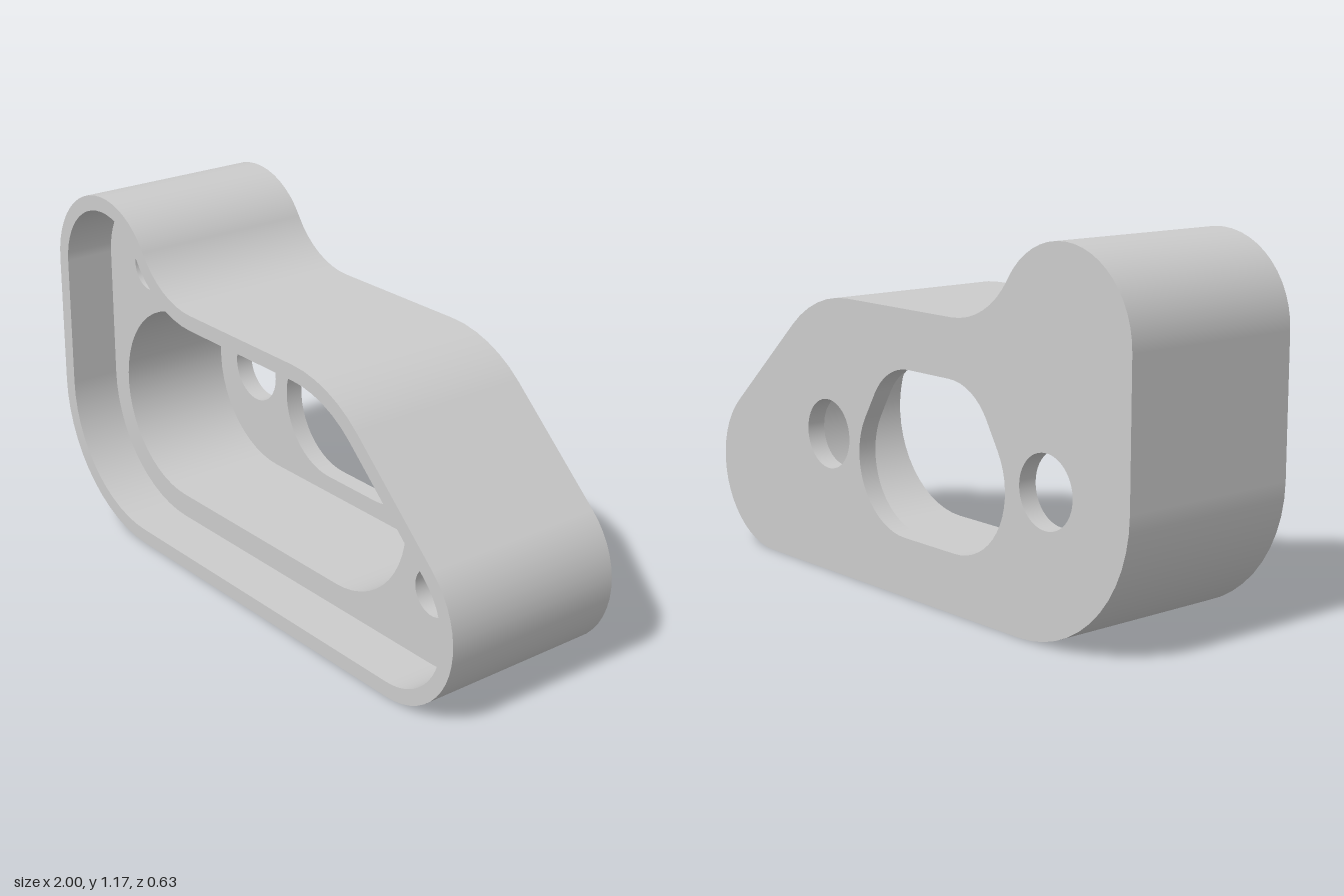
import * as THREE from 'three';

// Levels along z, from back to front
const BACK = -0.313, FLOOR = -0.25, HOLE_END = -0.15, SHELF = 0.143, FRONT = 0.313;

// Each loop is a counter-clockwise belt round circles [x, y, radius];
// a negative radius makes a concave fillet.
const BODY = [
  [-0.545, 0.455, 0.455],
  [0.72, 0.28, 0.28],
  [0.275, 0.455, 0.45],
  [-0.241, 1.205, -0.3],
  [-0.725, 0.895, 0.275],
];
const POCKET = [[-0.545, 0.455, 0.325], [0.275, 0.455, 0.325]];
const SLOT = [[-0.255, 0.42, 0.23], [-0.01, 0.42, 0.23], [-0.035, 0.52, 0.2], [-0.23, 0.52, 0.2]];
const BOLT_HOLES = [[[-0.66, 0.455, 0.113]], [[0.385, 0.455, 0.113]]];
const SCREW_HOLES = [[[-0.725, 0.895, 0.075]], [[0.72, 0.285, 0.075]]];

// Points with outward normals along a belt, moved inward by inset
function belt(circles, inset = 0) {
  const n = circles.length;
  const tangent = (a, b) => {
    const dx = b[0] - a[0], dy = b[1] - a[1];
    const c = THREE.MathUtils.clamp((a[2] - b[2]) / Math.hypot(dx, dy), -1, 1);
    return Math.atan2(dy, dx) - Math.acos(c);
  };
  const points = [];
  circles.forEach((c, i) => {
    let start = 0, sweep = Math.PI * 2;
    if (n > 1) {
      start = tangent(circles[(i + n - 1) % n], c);
      sweep = THREE.MathUtils.euclideanModulo(tangent(c, circles[(i + 1) % n]) - start, Math.PI * 2);
      if (c[2] < 0) sweep -= Math.PI * 2;
    }
    const steps = Math.max(2, Math.ceil(Math.abs(sweep) / 0.13));
    const last = n > 1 ? steps : steps - 1;
    for (let k = 0; k <= last; k++) {
      const a = start + (sweep * k) / steps, nx = Math.cos(a), ny = Math.sin(a);
      const r = c[2] - inset;
      points.push({ x: c[0] + r * nx, y: c[1] + r * ny, nx, ny });
    }
  });
  return points;
}

// Smooth wall along a loop; side 1 faces outward, -1 faces inward
function wall(loop, z0, z1, side) {
  const pos = [], nor = [], index = [], n = loop.length;
  loop.forEach((p, i) => {
    pos.push(p.x, p.y, z0, p.x, p.y, z1);
    nor.push(p.nx * side, p.ny * side, 0, p.nx * side, p.ny * side, 0);
    const a = 2 * i, b = 2 * ((i + 1) % n);
    if (side > 0) index.push(a, b, b + 1, a, b + 1, a + 1);
    else index.push(a, b + 1, b, a, a + 1, b + 1);
  });
  const g = new THREE.BufferGeometry();
  g.setAttribute('position', new THREE.Float32BufferAttribute(pos, 3));
  g.setAttribute('normal', new THREE.Float32BufferAttribute(nor, 3));
  g.setIndex(index);
  return g;
}

// Flat face with holes at height z, facing +z (side 1) or -z (side -1)
function face(loop, holes, z, side) {
  const toVec = (l) => l.map((p) => new THREE.Vector2(p.x, p.y));
  const shape = new THREE.Shape(toVec(loop));
  shape.holes = holes.map((h) => new THREE.Path(toVec(h)));
  const g = new THREE.ShapeGeometry(shape);
  if (side < 0) {
    g.setIndex(Array.from(g.index.array).reverse());
    g.attributes.normal.array.forEach((v, i, arr) => { arr[i] = -v; });
  }
  return g.translate(0, 0, z);
}

export function createModel() {
  const model = new THREE.Group();
  model.name = 'housing';
  const material = new THREE.MeshStandardMaterial({ color: 0xcccccc });
  const add = (name, geometry) => {
    const mesh = new THREE.Mesh(geometry, material);
    mesh.name = name;
    model.add(mesh);
  };

  const outer = belt(BODY), recess = belt(BODY, 0.05), pocket = belt(POCKET);
  const screws = SCREW_HOLES.map((h) => belt(h));
  const openings = [belt(SLOT), ...BOLT_HOLES.map((h) => belt(h))];

  // Outer shell
  add('outerWall', wall(outer, BACK, FRONT, 1));
  add('backFace', face(outer, openings, BACK, -1));
  add('frontRim', face(outer, [recess], FRONT, 1));

  // Stepped interior
  add('recessWall', wall(recess, SHELF, FRONT, -1));
  add('recessShelf', face(recess, [pocket, ...screws], SHELF, 1));
  add('pocketWall', wall(pocket, FLOOR, SHELF, -1));
  add('pocketFloor', face(pocket, openings, FLOOR, 1));

  // Through openings in the floor
  openings.forEach((o, i) => add(i ? 'boltHole' : 'centreSlot', wall(o, BACK, FLOOR, -1)));

  // Blind screw holes in the shelf
  screws.forEach((s) => {
    add('screwHoleWall', wall(s, HOLE_END, SHELF, -1));
    add('screwHoleEnd', face(s, [], HOLE_END, 1));
  });

  return model;
}
